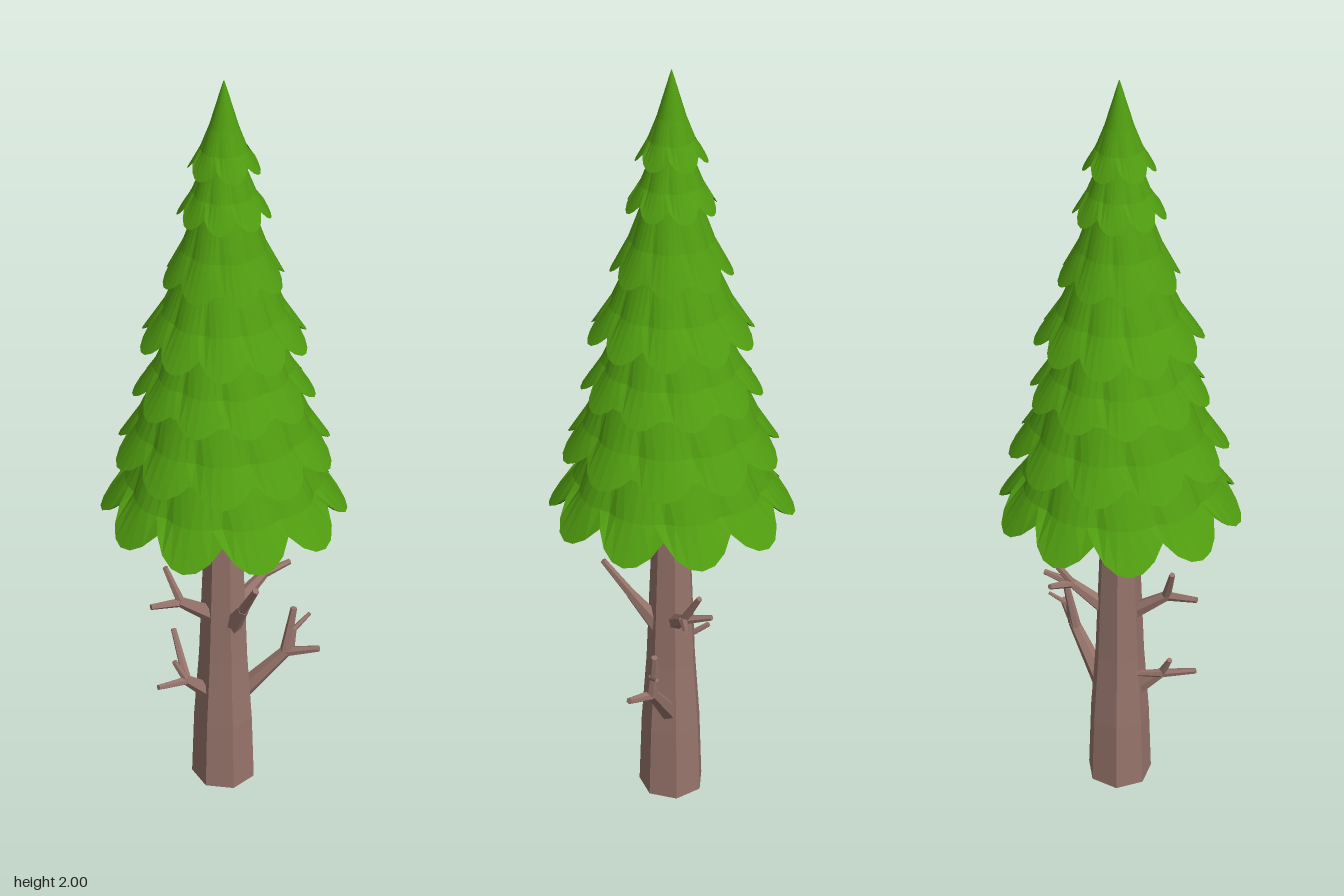
import * as THREE from 'three';

const leafGreen = new THREE.MeshStandardMaterial({ color: 0x509c10 });
leafGreen.name = 'leafGreen';
const barkBrown = new THREE.MeshStandardMaterial({ color: 0x95736a });
barkBrown.name = 'barkBrown';

// faceted mesh: split vertices so every face has its own normal
function facet(geometry, material, name) {
  const g = geometry.toNonIndexed();
  g.computeVertexNormals();
  const mesh = new THREE.Mesh(g, material);
  mesh.name = name;
  return mesh;
}

// closed-loop skin over rows; point(row, column) gives a Vector3
function skin(rows, cols, point) {
  const pos = [], idx = [];
  for (let i = 0; i < rows; i++)
    for (let j = 0; j < cols; j++) pos.push(...point(i, j).toArray());
  for (let i = 0; i < rows - 1; i++)
    for (let j = 0; j < cols; j++) {
      const k = (j + 1) % cols;
      const a = i * cols + j, b = i * cols + k, c = a + cols, d = b + cols;
      idx.push(a, b, c, b, d, c);
    }
  const g = new THREE.BufferGeometry();
  g.setAttribute('position', new THREE.Float32BufferAttribute(pos, 3));
  g.setIndex(idx);
  return g;
}

// scalloped skirt of needles with a hollow underside
function skirt({ rim, R, topY, topR, neckY, neckR, lobes, amp, turn }) {
  const seg = 6, cols = lobes * seg, h = neckY - rim;
  // radius, height, and how strongly the scallop shapes each row
  const rows = [
    [topR, topY, 0],
    [neckR, neckY, 0.1],
    [neckR + (R - neckR) * 0.42, rim + h * 0.5, 0.45],
    [R, rim, 1],
    [R * 0.95, rim + 0.004, 1],
    [R * 0.58, rim + h * 0.62, 0.3],
    [0.015, rim + h * 0.8, 0],
  ];
  return skin(rows.length, cols, (i, j) => {
    const p = ((j % seg) / seg) * 2 - 1;
    const notch = p * p;
    const a = Math.PI / 2 + ((j - seg / 2) / cols) * Math.PI * 2 + turn;
    const [r, y, w] = rows[i];
    const rr = r * (1 - 0.13 * notch * w);
    const lift = w === 1 ? amp * notch : 0;
    return new THREE.Vector3(rr * Math.cos(a), y + lift, rr * Math.sin(a));
  });
}

// tapered stick between two points
function stick(from, to, r0, r1, name) {
  const dir = to.clone().sub(from);
  const mesh = facet(new THREE.CylinderGeometry(r1, r0, dir.length(), 6), barkBrown, name);
  mesh.position.copy(from).add(to).multiplyScalar(0.5);
  mesh.quaternion.setFromUnitVectors(new THREE.Vector3(0, 1, 0), dir.normalize());
  return mesh;
}

// branch from base to elbow, forking there towards each tip
function branch(name, radius, base, elbow, ...tips) {
  const group = new THREE.Group();
  group.name = name;
  const start = new THREE.Vector3(...base), fork = new THREE.Vector3(...elbow);
  group.add(stick(start, fork, radius, radius * 0.55, name + 'Limb'));
  // forks start slightly inside the limb so the joint is closed
  const joint = fork.clone().lerp(start, 0.08);
  for (const tip of tips)
    group.add(stick(joint, new THREE.Vector3(...tip), radius * 0.52, radius * 0.32, name + 'Fork'));
  return group;
}

export function createModel() {
  const tree = new THREE.Group();
  tree.name = 'pineTree';

  // foliage tiers: rim height, rim radius, neck radius under the next tier, lobes
  const foliage = new THREE.Group();
  foliage.name = 'foliage';
  const tiers = [
    [0.855, 0.308, 0.2, 10],
    [1.025, 0.272, 0.18, 10],
    [1.185, 0.222, 0.135, 10],
    [1.335, 0.205, 0.11, 10],
    [1.5, 0.147, 0.07, 8],
    [1.665, 0.11, 0.05, 8],
    [1.78, 0.085, 0.034, 6],
  ];
  tiers.forEach(([rim, R, neckR, lobes], n) => {
    const last = n === tiers.length - 1;
    const neckY = last ? 1.89 : tiers[n + 1][0] + 0.01;
    const shape = skirt({
      rim, R, neckR, neckY, lobes,
      topY: last ? 2 : neckY + 0.07,
      topR: last ? 0.001 : neckR * 0.6,
      amp: n === 0 ? 0.06 : 0.02 + R * 0.09,
      turn: n % 2 ? Math.PI / lobes : 0,
    });
    foliage.add(facet(shape, leafGreen, 'needleTier' + (n + 1)));
  });
  tree.add(foliage);

  // trunk: tapered, shouldered at the top, with a thin stem into the crown
  const profile = [[0, 0], [0.086, 0], [0.079, 0.2], [0.065, 0.4], [0.057, 0.6], [0.049, 0.79], [0.044, 0.81], [0.03, 0.812], [0.03, 1.05], [0, 1.05]];
  const trunk = new THREE.LatheGeometry(profile.map((p) => new THREE.Vector2(...p)), 7);
  tree.add(facet(trunk, barkBrown, 'trunk'));

  // bare branches: radius, base, elbow, then fork tips
  const branches = new THREE.Group();
  branches.name = 'branches';
  branches.add(branch('leftLowerBranch', 0.027, [0.04, 0.25, 0], [0.165, 0.4, 0.04], [0.23, 0.42, 0.09], [0.18, 0.52, 0.03]));
  branches.add(branch('leftLowerTwig', 0.015, [0.165, 0.4, 0.04], [0.178, 0.46, 0.037], [0.228, 0.485, 0.02]));
  branches.add(branch('leftUpperBranch', 0.023, [0.03, 0.53, -0.01], [0.125, 0.6, -0.04], [0.195, 0.61, -0.05], [0.155, 0.685, -0.08], [0.14, 0.62, -0.11]));
  branches.add(branch('rightUpperBranch', 0.023, [-0.03, 0.53, 0.01], [-0.13, 0.61, 0.03], [-0.205, 0.615, 0.04], [-0.155, 0.7, 0]));
  branches.add(branch('rightLowerBranch', 0.023, [-0.04, 0.28, 0.01], [-0.115, 0.355, 0.03], [-0.195, 0.37, 0.06], [-0.14, 0.41, 0.02], [-0.11, 0.43, -0.09]));
  branches.add(branch('frontBranch', 0.026, [0.01, 0.5, 0.03], [0.02, 0.6, 0.1], [0.03, 0.705, 0.17]));
  branches.add(branch('topTwig', 0.012, [0.02, 0.8, -0.02], [0.065, 0.825, -0.075], [0.12, 0.85, -0.1], [0.06, 0.775, -0.11]));
  branches.add(branch('sideTwig', 0.011, [-0.02, 0.765, 0], [-0.06, 0.77, 0], [-0.085, 0.778, 0]));
  tree.add(branches);

  return tree;
}
